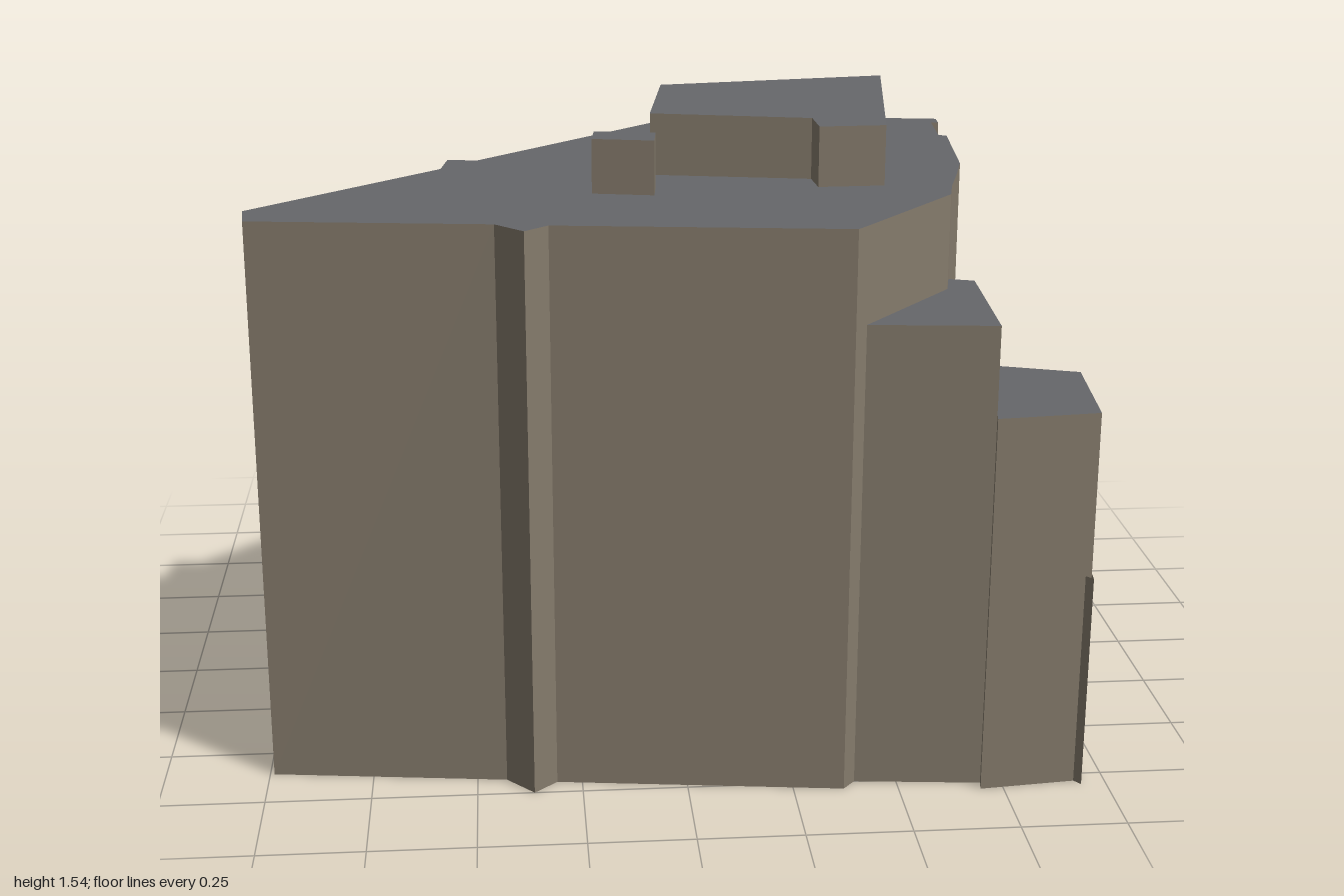
import * as THREE from 'three';

const mat = (color, side = THREE.FrontSide) => new THREE.MeshStandardMaterial({ color, side });

export function createModel() {
  const building = new THREE.Group();
  building.name = 'officeBuilding';
  const stone = mat(0x857b6c, THREE.DoubleSide);
  const roofing = mat(0x66676a, THREE.DoubleSide);
  const glass = mat(0x2a3842);
  const frame = mat(0x4c4a46);
  const mullion = mat(0x8a8f92);
  const pale = mat(0xb4b4aa);
  const dark = mat(0x2b2b2b);
  const blue = mat(0x2850a0);

  const add = (name, geometry, material, parent = building) => {
    const mesh = new THREE.Mesh(geometry, material);
    mesh.name = name;
    parent.add(mesh);
    return mesh;
  };

  // Vertical wall strip along [x, z] points; y0 and y1 may depend on position
  const wall = (name, pts, y0, y1) => {
    const at = (h, p) => (typeof h === 'function' ? h(...p) : h);
    const pos = [];
    for (let i = 0; i + 1 < pts.length; i++) {
      const [p, q] = [pts[i], pts[i + 1]];
      const a = [p[0], at(y0, p), p[1]], b = [q[0], at(y0, q), q[1]];
      const c = [q[0], at(y1, q), q[1]], d = [p[0], at(y1, p), p[1]];
      pos.push(...a, ...b, ...c, ...a, ...c, ...d);
    }
    const g = new THREE.BufferGeometry();
    g.setAttribute('position', new THREE.Float32BufferAttribute(pos, 3));
    g.computeVertexNormals();
    return add(name, g, stone);
  };

  // Roof over an [x, z] polygon
  const roof = (name, pts, height, material = roofing) => {
    const g = new THREE.ShapeGeometry(new THREE.Shape(pts.map(([x, z]) => new THREE.Vector2(x, -z))));
    g.rotateX(-Math.PI / 2);
    const p = g.attributes.position;
    for (let i = 0; i < p.count; i++) {
      p.setY(i, typeof height === 'function' ? height(p.getX(i), p.getZ(i)) : height);
    }
    g.computeVertexNormals();
    return add(name, g, material);
  };

  const block = (name, pts, y0, y1) => {
    wall(name + 'Walls', [...pts, pts[0]], y0, y1);
    roof(name + 'Roof', pts, y1);
  };

  // Main tower
  const TOP = 1.37;
  const front = [[-0.56, 0.09], [-1, 0.51], [-0.99, 0.61], [-0.43, 0.68], [-0.365, 0.75],
    [-0.31, 0.7], [0.37, 0.785], [0.4, 0.75]];
  const chamfer = [[0.4, 0.75], [0.64, 0.46], [0.66, 0.37]];
  const inner = [[0.66, 0.37], [0.695, 0.25], [0.73, 0.12]];
  const slot = [[0.765, -0.23], [0.745, -0.235], [0.757, -0.405], [0.777, -0.405]];
  const backStep = [[0.78, -0.46], [0.4, -0.52], [0.33, -0.56], [0.31, -0.585], [0.25, -0.6], [0.18, -0.64]];
  const leftFace = [[0.18, -0.64], [-0.47, -0.005], [-0.545, -0.015], [-0.56, 0.09]];
  wall('frontWall', front, 0, TOP);
  wall('chamferWall', chamfer, 1.14, TOP);
  wall('innerSideWall', inner, 0.6, TOP);
  wall('sideWall', [[0.73, 0.12], slot[0]], 0, TOP);
  wall('sideWallBelowSlot', [slot[0], slot[3]], 0, 0.63);
  wall('slotWalls', slot, 0.63, TOP);
  roof('slotSill', slot, (x) => (x < 0.76 ? 0.66 : 0.63));
  wall('sideWallBack', [slot[3], backStep[0]], 0, TOP);
  wall('backStepWall', backStep, 1.155, TOP);
  wall('leftWall', leftFace, 0, TOP);
  roof('mainRoof', [...front, ...chamfer.slice(1), ...inner.slice(1), ...slot, ...backStep, ...leftFace.slice(1, 3)], TOP);

  // Front corner: stepped blocks
  wall('upperStepFront', [[0.4, 0.75], [0.7, 0.78]], 0, 1.14);
  wall('upperStepSide', [[0.7, 0.78], [0.72, 0.39]], 0.93, 1.14);
  wall('upperStepBack', [[0.72, 0.39], [0.66, 0.37]], 0.72, 1.14);
  roof('upperStepRoof', [[0.4, 0.75], [0.7, 0.78], [0.72, 0.39], [0.66, 0.37], [0.64, 0.46]], 1.14);
  wall('cornerBlockFront', [[0.7, 0.78], [0.695, 0.81], [0.94, 0.785], [0.97, 0.475]], 0, 0.93);
  wall('cornerBlockBack', [[0.97, 0.475], [0.72, 0.39]], 0.56, 0.93);
  roof('cornerBlockRoof', [[0.695, 0.81], [0.94, 0.785], [0.97, 0.475], [0.72, 0.39], [0.7, 0.78]], 0.93);
  wall('cornerFin', [[0.925, 0.786], [0.94, 0.805], [0.945, 0.76]], 0, 0.53);

  // Low side block with a small raised box
  const lowY = (x, z) => (z > 0.4 ? 0.56 : x > 0.98 ? 0.59 : 0.605);
  wall('lowBlockWalls', [[0.97, 0.475], [1, 0.15], [0.73, 0.12]], 0, lowY);
  roof('lowBlockRoof', [[0.66, 0.37], [0.97, 0.475], [1, 0.15], [0.73, 0.12], [0.695, 0.25]], lowY);
  wall('raisedBoxWalls', [[0.935, 0.463], [0.965, 0.345], [0.695, 0.25]], 0.56, 0.72);
  roof('raisedBoxRoof', [[0.66, 0.37], [0.935, 0.463], [0.965, 0.345], [0.695, 0.25]], 0.72);

  // Back wing, its upper part jutting out slightly
  const wingSide = [[0.785, -0.46], [0.81, -0.745], [0.78, -0.77]];
  const wingBase = [[0.775, -0.46], [0.79, -0.745], [0.78, -0.77]];
  wall('wingSideUpper', [[0.775, -0.46], ...wingSide], 0.73, 1.155);
  wall('wingSideLower', wingBase, 0, 0.73);
  roof('wingSoffit', [...wingSide, wingBase[1], wingBase[0]], 0.73, stone);
  wall('wingBack', [[0.78, -0.77], [0.36, -0.815], [0.355, -0.775], [0.32, -0.785]], 0, 1.155);
  wall('wingLeft', [[0.32, -0.785], [0.18, -0.64]], 0, 1.155);
  roof('wingRoof', [...wingSide, [0.36, -0.815], [0.355, -0.775], [0.32, -0.785], [0.18, -0.64],
    [0.25, -0.6], [0.4, -0.52]], 1.155);
  block('wingParapet', [[0.24, -0.615], [0.255, -0.69], [0.2, -0.66], [0.18, -0.64]], 1.155, 1.19);
  block('wingPenthouse', [[0.4, -0.52], [0.78, -0.46], [0.75, -0.54], [0.44, -0.575], [0.4, -0.6], [0.33, -0.56]], 1.155, 1.33);

  // Rooftop plant room and vent
  const tilt = (x, z) => 1.528 - 0.035 * z;
  const plant = [[-0.05, 0.195], [0.335, 0.27], [0.34, 0.36], [0.5, 0.355], [0.58, -0.21], [0, -0.13]];
  wall('plantRoomWalls', [...plant, plant[0]], TOP, tilt);
  roof('plantRoomRoof', plant, tilt);
  block('roofVent', [[-0.2, 0.39], [-0.055, 0.42], [-0.045, 0.325], [-0.19, 0.3]], TOP, 1.5);

  // Facade frame: local x runs along the wall, local z points outward
  const facade = (name, p, q) => {
    const g = new THREE.Group();
    g.name = name;
    g.position.set(p[0], 0, p[1]);
    g.rotation.y = Math.atan2(p[1] - q[1], q[0] - p[0]);
    building.add(g);
    return g;
  };
  const box = (g, name, u0, u1, v0, v1, depth, material, z = 0) => {
    const m = add(name, new THREE.BoxGeometry(u1 - u0, v1 - v0, depth), material, g);
    m.position.set((u0 + u1) / 2, (v0 + v1) / 2, z + depth / 2);
    return m;
  };
  // Glazed strip with border and dividers
  const windows = (g, u0, u1, v0, v1, cols, rows = [], bar = frame) => {
    const t = 0.003, d = 0.008;
    box(g, 'windowGlass', u0, u1, v0, v1, 0.004, glass);
    for (let i = 0; i <= cols; i++) {
      const u = u0 + ((u1 - u0) * i) / cols;
      box(g, 'windowPost', u - t, u + t, v0, v1, d, bar);
    }
    for (const v of [v0, ...rows, v1]) box(g, 'windowRail', u0 - t, u1 + t, v - t, v + t, d, bar);
  };

  // Long left facade: window bands, single windows, shopfront and louvre
  const long = facade('longFacade', [0.32, -0.785], [-0.47, -0.005]);
  const sills = [0.32, 0.535, 0.75, 0.965, 1.18];
  for (const v of sills) windows(long, 0.27, 1.1, v, v + 0.115, 11);
  for (const v of sills.slice(0, 4)) windows(long, 0.06, 0.195, v - 0.02, v + 0.12, 2);
  windows(long, 0.27, 1.1, 0.015, 0.23, 10, [0.18], mullion);
  box(long, 'louvrePanel', 0.02, 0.24, 0.01, 0.21, 0.005, dark);
  for (let i = 0; i < 7; i++) box(long, 'louvreSlat', 0.02, 0.24, 0.02 + i * 0.029, 0.027 + i * 0.029, 0.011, mullion);

  // Entrance facade
  const entry = facade('entranceFacade', [-0.56, 0.09], [-1, 0.51]);
  for (const v of sills.slice(1)) windows(entry, 0.012, 0.595, v, v + 0.115, 10);
  for (const [v0, v1] of [[0.08, 0.2], [0.32, 0.435]]) {
    windows(entry, 0.012, 0.295, v0, v1, 5);
    windows(entry, 0.46, 0.595, v0, v1, 2);
  }
  windows(entry, 0.305, 0.45, 0.2, 0.39, 1, [0.25], mullion);
  windows(entry, 0.305, 0.45, 0.02, 0.19, 4, [], mullion);
  box(entry, 'doorStep', 0.3, 0.455, 0, 0.015, 0.03, pale);
  box(entry, 'canopy', 0.275, 0.485, 0.405, 0.425, 0.09, pale);
  box(entry, 'wallLamp', 0.468, 0.488, 0.18, 0.205, 0.025, blue);

  // Glazed wall of the back wing
  const curtain = facade('curtainWall', [0.78, -0.77], [0.36, -0.815]);
  windows(curtain, 0.004, 0.418, 0.006, 1.15, 3, [0.27, 0.488, 0.702, 0.916], mullion);

  return building;
}
